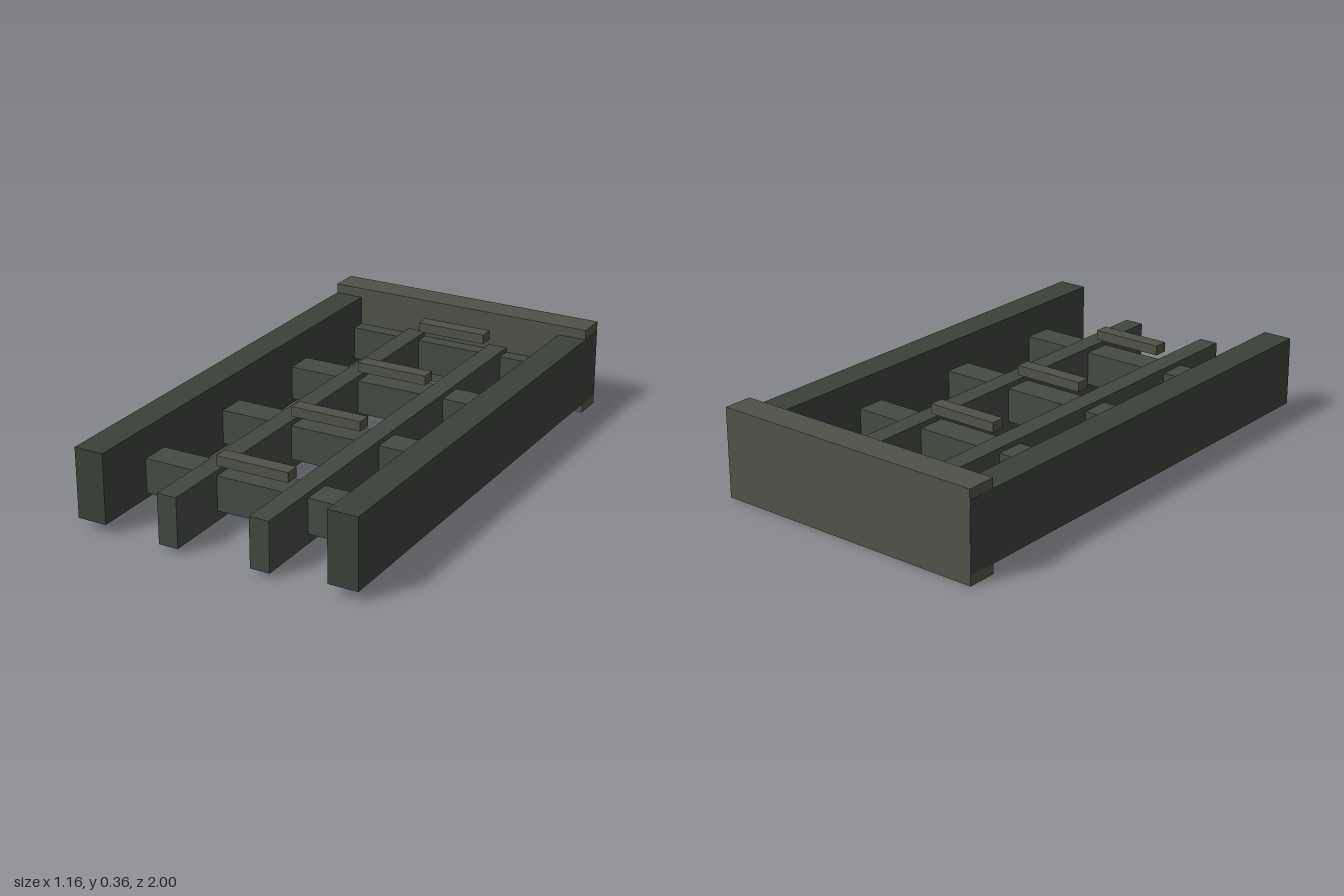
import * as THREE from 'three';

const paint = (color) => new THREE.MeshStandardMaterial({ color });
const railPaint = paint(0x3b4039);
const innerPaint = paint(0x424741);
const beamPaint = paint(0x454a42);
const plankPaint = paint(0x505248);

export function createModel() {
  const model = new THREE.Group();
  model.name = 'timberFrame';

  // Box given by its extents along each axis
  const block = (name, material, [x0, x1], [y0, y1], [z0, z1]) => {
    const mesh = new THREE.Mesh(new THREE.BoxGeometry(x1 - x0, y1 - y0, z1 - z0), material);
    mesh.position.set((x0 + x1) / 2, (y0 + y1) / 2, (z0 + z1) / 2);
    mesh.name = name;
    model.add(mesh);
  };

  // Lengthwise members, mirrored; they stop just inside the end board's back face
  for (const [side, s] of [['left', 1], ['right', -1]]) {
    const span = (a, b) => (s > 0 ? [a, b] : [-b, -a]);
    block(side + 'OuterRail', railPaint, span(0.46, 0.58), [0.04, 0.32], [-0.998, 1]);
    block(side + 'InnerRail', innerPaint, span(0.15, 0.23), [0.02, 0.22], [-0.998, 1]);
  }

  // Cross beams, each with a narrow slat above its front half
  for (let i = 0; i < 4; i++) {
    const z = 0.68 - i * 0.52;
    block('crossBeam' + (i + 1), beamPaint, [-0.46, 0.46], [0.06, 0.2], [z - 0.06, z + 0.06]);
    block('slat' + (i + 1), plankPaint, [-0.15, 0.15], [0.24, 0.28], [z, z + 0.06]);
  }

  // Board closing the back, a hair narrower than the rails
  block('endBoard', plankPaint, [-0.579, 0.579], [0, 0.36], [-1, -0.88]);

  return model;
}
